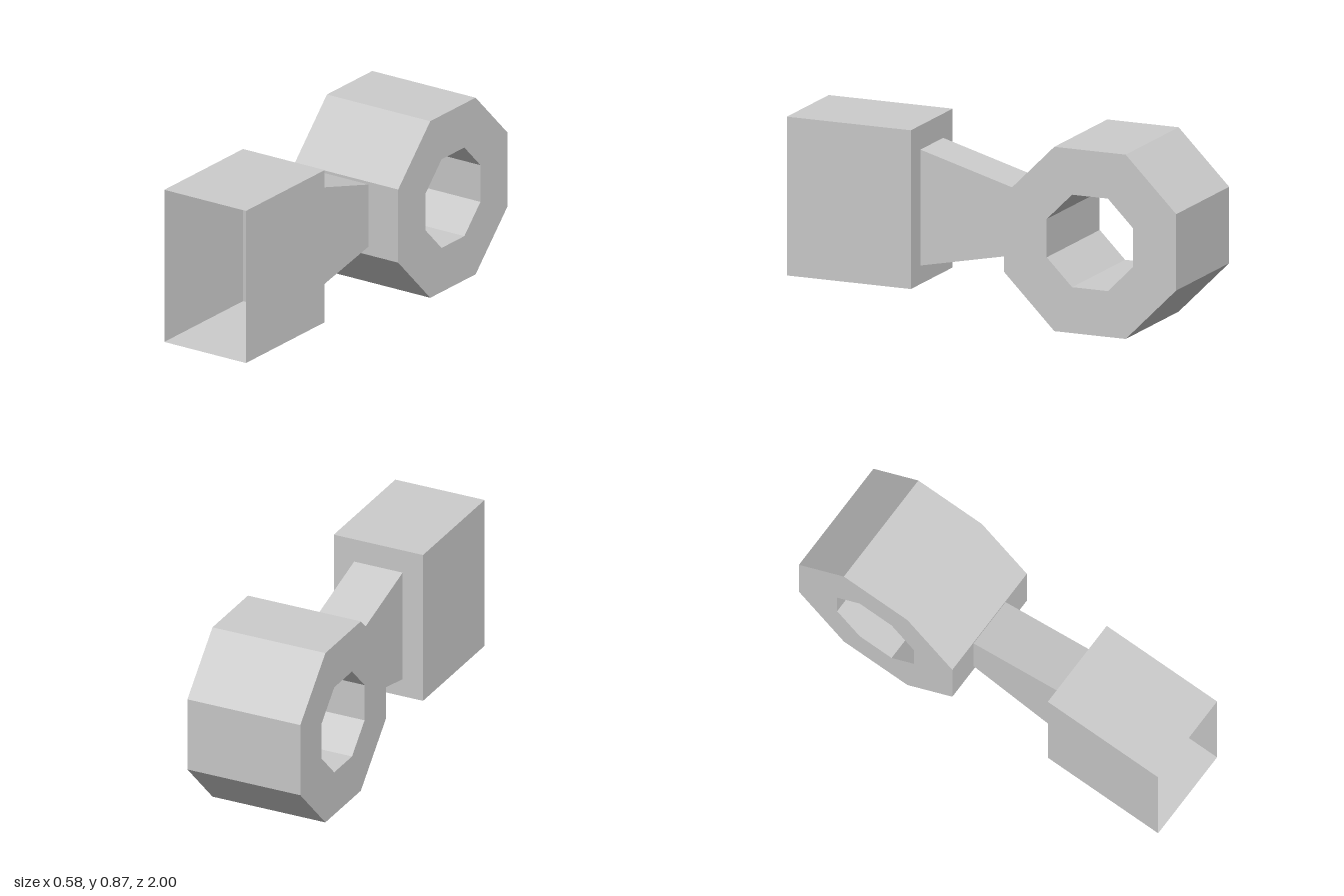
import * as THREE from 'three';

const grey = new THREE.MeshStandardMaterial({ color: 0xcccccc, side: THREE.DoubleSide });
grey.name = 'plain grey';

// Regular octagon path with flats facing the axes
function octagon(PathType, apothem) {
  const radius = apothem / Math.cos(Math.PI / 8);
  const points = [];
  for (let i = 0; i < 8; i++) {
    const a = (i + 0.5) * Math.PI / 4;
    points.push(new THREE.Vector2(radius * Math.cos(a), radius * Math.sin(a)));
  }
  return new PathType(points);
}

// Thin-walled box with its first `faces` sides kept (+x, -x, +y, -y, +z, -z)
function keepFaces(geometry, keep) {
  const index = Array.from(geometry.index.array);
  geometry.setIndex(keep.flatMap((f) => index.slice(f * 6, f * 6 + 6)));
  geometry.clearGroups();
  return geometry;
}

function addPart(group, name, geometry, y, z) {
  const mesh = new THREE.Mesh(geometry, grey);
  mesh.name = name;
  mesh.position.set(0, y, z);
  group.add(mesh);
}

export function createModel() {
  const group = new THREE.Group();
  group.name = 'ringConnector';

  // Octagonal ring, extruded across x
  const shape = octagon(THREE.Shape, 0.4365);
  shape.holes.push(octagon(THREE.Path, 0.219));
  const ring = new THREE.ExtrudeGeometry(shape, { depth: 0.582, bevelEnabled: false });
  ring.translate(0, 0, -0.291).rotateY(-Math.PI / 2);
  addPart(group, 'ring', ring, 0.4365, -0.5635);

  // Socket, open at the front
  const socket = keepFaces(new THREE.BoxGeometry(0.46, 0.752, 0.628), [0, 1, 2, 3, 5]);
  addPart(group, 'socket', socket, 0.484, 0.686);

  // Open-ended neck, tapering from the socket to the ring
  let neck = keepFaces(new THREE.BoxGeometry(0.25, 1, 1), [0, 1, 2, 3]);
  const pos = neck.attributes.position;
  for (let i = 0; i < pos.count; i++) {
    const top = pos.getY(i) > 0;
    if (pos.getZ(i) > 0) pos.setXYZ(i, pos.getX(i), top ? 0.755 : 0.189, 0.407);
    else pos.setXYZ(i, pos.getX(i), top ? 0.598 : 0.303, -0.15);
  }
  neck = neck.toNonIndexed();
  neck.computeVertexNormals();
  addPart(group, 'neck', neck, 0, 0);

  return group;
}
